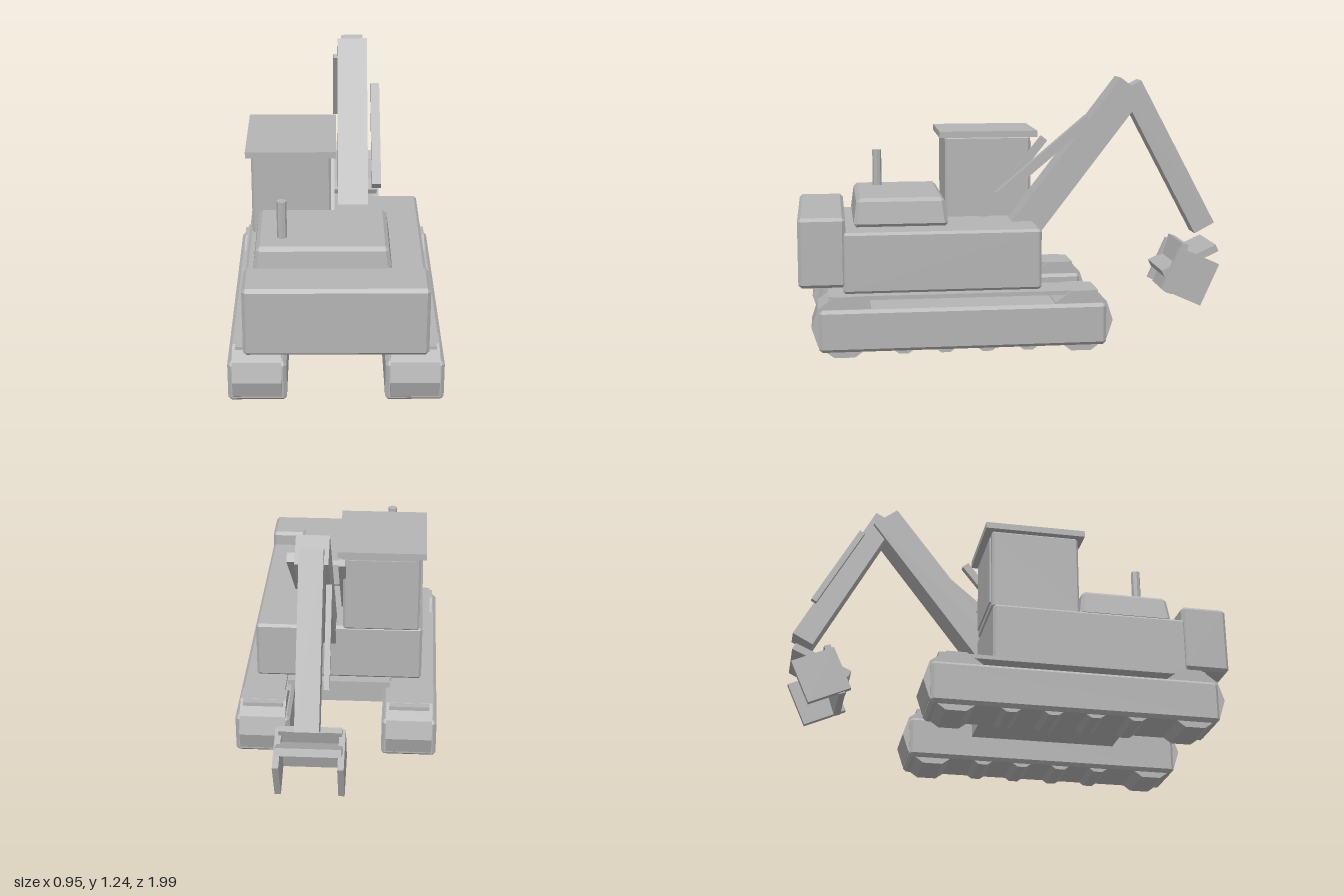
import * as THREE from 'three';
import { ConvexGeometry } from 'three/addons/geometries/ConvexGeometry.js';

const grey = new THREE.MeshStandardMaterial({ color: 0xb4b4b4 });
grey.name = 'plain grey';

function add(parent, name, geometry) {
  const mesh = new THREE.Mesh(geometry, grey);
  mesh.name = name;
  parent.add(mesh);
  return mesh;
}

// Box between two corners with chamfered edges; the top may be drawn in by a taper
function chamferBox(parent, name, min, max, c, taper = 0) {
  const mid = min.map((v, i) => (v + max[i]) / 2);
  const half = min.map((v, i) => (max[i] - v) / 2);
  const points = [];
  for (const sx of [-1, 1]) for (const sy of [-1, 1]) for (const sz of [-1, 1]) {
    for (let axis = 0; axis < 3; axis++) {
      const p = [sx, sy, sz].map((s, i) => s * (half[i] - (i === axis ? 0 : c)));
      const drawIn = taper * (p[1] + half[1]) / (2 * half[1]);
      p[0] -= sx * drawIn;
      p[2] -= sz * drawIn;
      points.push(new THREE.Vector3(mid[0] + p[0], mid[1] + p[1], mid[2] + p[2]));
    }
  }
  return add(parent, name, new ConvexGeometry(points));
}

function box(parent, name, min, max) {
  const size = max.map((v, i) => v - min[i]);
  const mesh = add(parent, name, new THREE.BoxGeometry(...size));
  mesh.position.set(...min.map((v, i) => (v + max[i]) / 2));
  return mesh;
}

// Rectangular bar lying in a side plane, from a to b given as [z, y]
function bar(parent, name, x0, x1, a, b, thickness) {
  const dz = b[0] - a[0], dy = b[1] - a[1];
  const mesh = add(parent, name, new THREE.BoxGeometry(x1 - x0, thickness, Math.hypot(dz, dy)));
  mesh.position.set((x0 + x1) / 2, (a[1] + b[1]) / 2, (a[0] + b[0]) / 2);
  mesh.rotation.x = Math.atan2(-dy, dz);
  return mesh;
}

function facetedCylinder(parent, name, r, length, sides) {
  const geometry = new THREE.CylinderGeometry(r, r, length, sides).toNonIndexed();
  geometry.computeVertexNormals();
  return add(parent, name, geometry);
}

function wheel(parent, name, x, y, z, r, width) {
  const mesh = facetedCylinder(parent, name, r, width, 10);
  mesh.rotation.z = Math.PI / 2;
  mesh.position.set(x, y, z);
}

function makeTrack(side) {
  const track = new THREE.Group();
  track.name = side > 0 ? 'leftTrack' : 'rightTrack';
  const x = side * 0.347;
  chamferBox(track, 'trackFrame', [x - 0.13, 0.028, -0.4], [x + 0.13, 0.222, 0.912], 0.015);
  box(track, 'trackTopBand', [x - 0.095, 0.26, -0.365], [x + 0.095, 0.279, 0.867]);
  for (const z of [-0.285, 0.797]) wheel(track, 'endWheel', x, 0.14, z, 0.147, 0.217);
  for (let i = 0; i < 4; i++) wheel(track, 'roller', x, 0.075, 0.53 - i * 0.19, 0.067, 0.217);
  return track;
}

export function createModel() {
  const model = new THREE.Group();
  model.name = 'excavator';

  // Undercarriage
  for (const side of [-1, 1]) model.add(makeTrack(side));
  box(model, 'undercarriage', [-0.25, 0.14, -0.1], [0.25, 0.25, 0.6]);
  const ring = facetedCylinder(model, 'turntable', 0.24, 0.04, 16);
  ring.position.set(0, 0.268, 0.25);

  // Upper body
  chamferBox(model, 'house', [-0.4, 0.28, -0.11], [0.4, 0.56, 0.8], 0.012);
  chamferBox(model, 'counterweight', [-0.4, 0.31, 0.785], [0.4, 0.63, 1], 0.015);
  chamferBox(model, 'engineHood', [-0.367, 0.558, 0.305], [0.25, 0.692, 0.747], 0.016, 0.018);
  const exhaust = facetedCylinder(model, 'exhaust', 0.022, 0.2, 8);
  exhaust.position.set(-0.237, 0.767, 0.617);

  // Cab
  chamferBox(model, 'cab', [-0.385, 0.55, -0.115], [-0.02, 0.947, 0.298], 0.01);
  box(model, 'cabWindow', [-0.358, 0.585, -0.122], [-0.045, 0.92, -0.114]);
  box(model, 'cabRoof', [-0.41, 0.944, -0.147], [0.005, 0.974, 0.325]);

  // Boom, stick and their rams
  bar(model, 'boom', 0.015, 0.162, [-0.577, 1.192], [0.015, 0.422], 0.142);
  bar(model, 'boomRamRight', -0.035, -0.002, [0.135, 0.54], [-0.182, 0.937], 0.036);
  bar(model, 'boomRamLeft', 0.176, 0.22, [0.067, 0.69], [-0.357, 1.046], 0.044);
  bar(model, 'stick', 0.035, 0.142, [-0.575, 1.195], [-0.944, 0.505], 0.108);
  bar(model, 'stickRam', -0.005, 0.02, [-0.69, 1.085], [-0.905, 0.692], 0.028);

  // Bucket
  const bucket = new THREE.Group();
  bucket.name = 'bucket';
  model.add(bucket);
  for (const x of [-0.07, 0.213]) {
    bar(bucket, 'bucketSide', x, x + 0.028, [-0.757, 0.329], [-0.949, 0.243], 0.218);
  }
  bar(bucket, 'bucketFloor', -0.06, 0.23, [-0.722, 0.302], [-0.985, 0.422], 0.035);
  bar(bucket, 'bucketBack', -0.055, 0.225, [-0.832, 0.442], [-0.752, 0.205], 0.032);

  return model;
}
